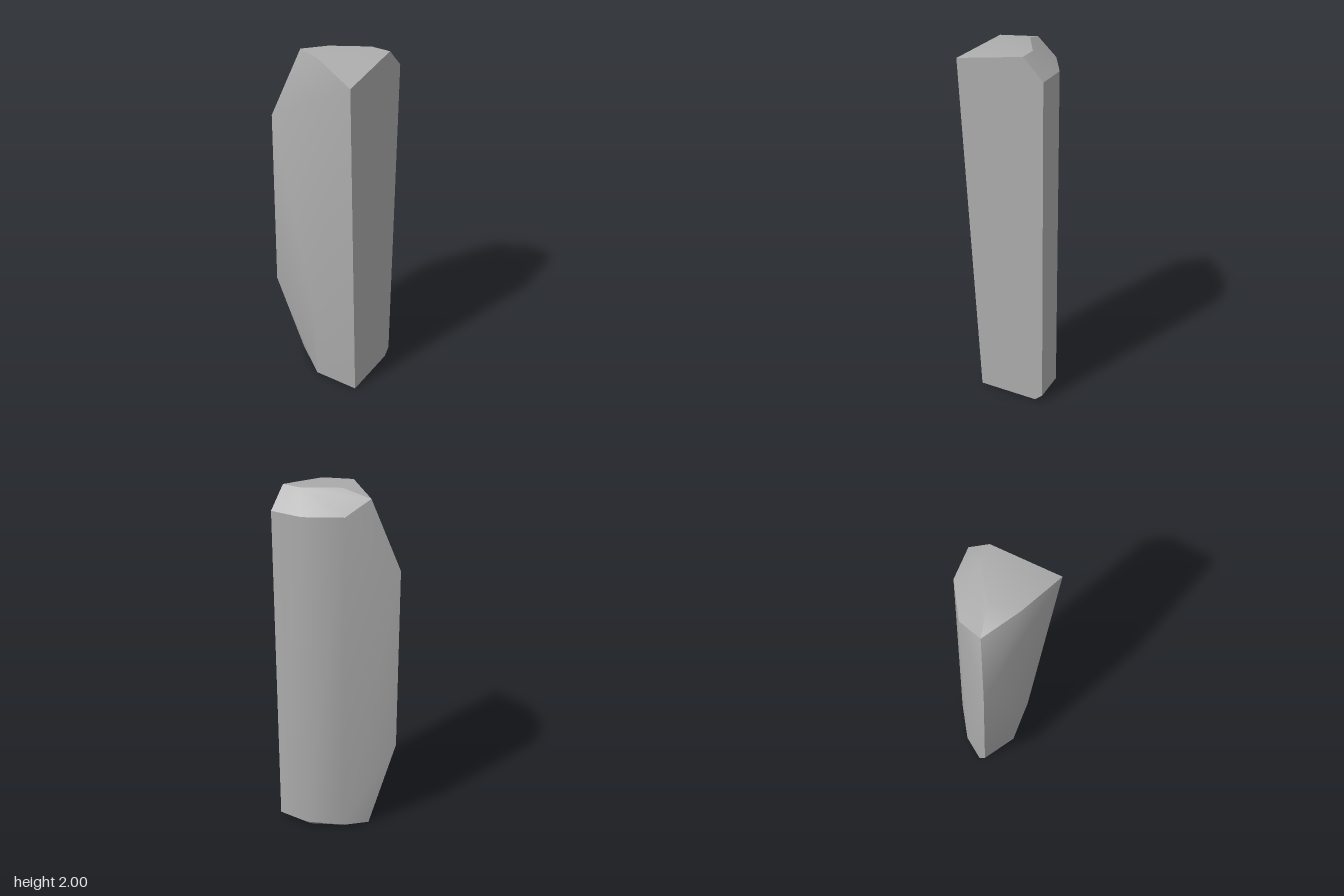
import * as THREE from 'three';
import { ConvexGeometry } from 'three/addons/geometries/ConvexGeometry.js';
import { toCreasedNormals } from 'three/addons/utils/BufferGeometryUtils.js';

export function createModel() {
  const group = new THREE.Group();
  const stone = new THREE.MeshStandardMaterial({ color: 0xacacac });
  stone.name = 'grey stone';

  // Corner points of the split stone, listed ring by ring
  const corners = [
    // top crest
    [0.29, 2, -0.125], [0.185, 2, -0.127], [0, 2, -0.02], [-0.15, 1.96, 0.01],
    // top front rim
    [0.03, 2, 0.135], [0.29, 1.94, 0.24],
    // top back rim
    [0.29, 1.89, -0.235], [0.108, 1.89, -0.235], [-0.08, 1.89, -0.128],
    // sharp side edge
    [-0.29, 1.58, 0.08], [-0.29, 0.525, 0.08],
    // front bulge
    [0.03, 0.55, 0.19],
    // bottom back rim
    [0.29, 0.04, -0.243], [0.108, 0.04, -0.243], [-0.08, 0.02, -0.131],
    // base
    [0.29, 0, -0.2], [0.11, 0, -0.2], [-0.07, 0, -0.1],
    [-0.17, 0, -0.01], [0.03, 0, 0.143], [0.29, 0, 0.14],
  ].map((p) => new THREE.Vector3(...p));

  // Softly shaded sides with sharp breaks at the cut faces
  const geometry = toCreasedNormals(new ConvexGeometry(corners), 0.62);
  const shard = new THREE.Mesh(geometry, stone);
  shard.name = 'stoneShard';
  group.add(shard);
  return group;
}
